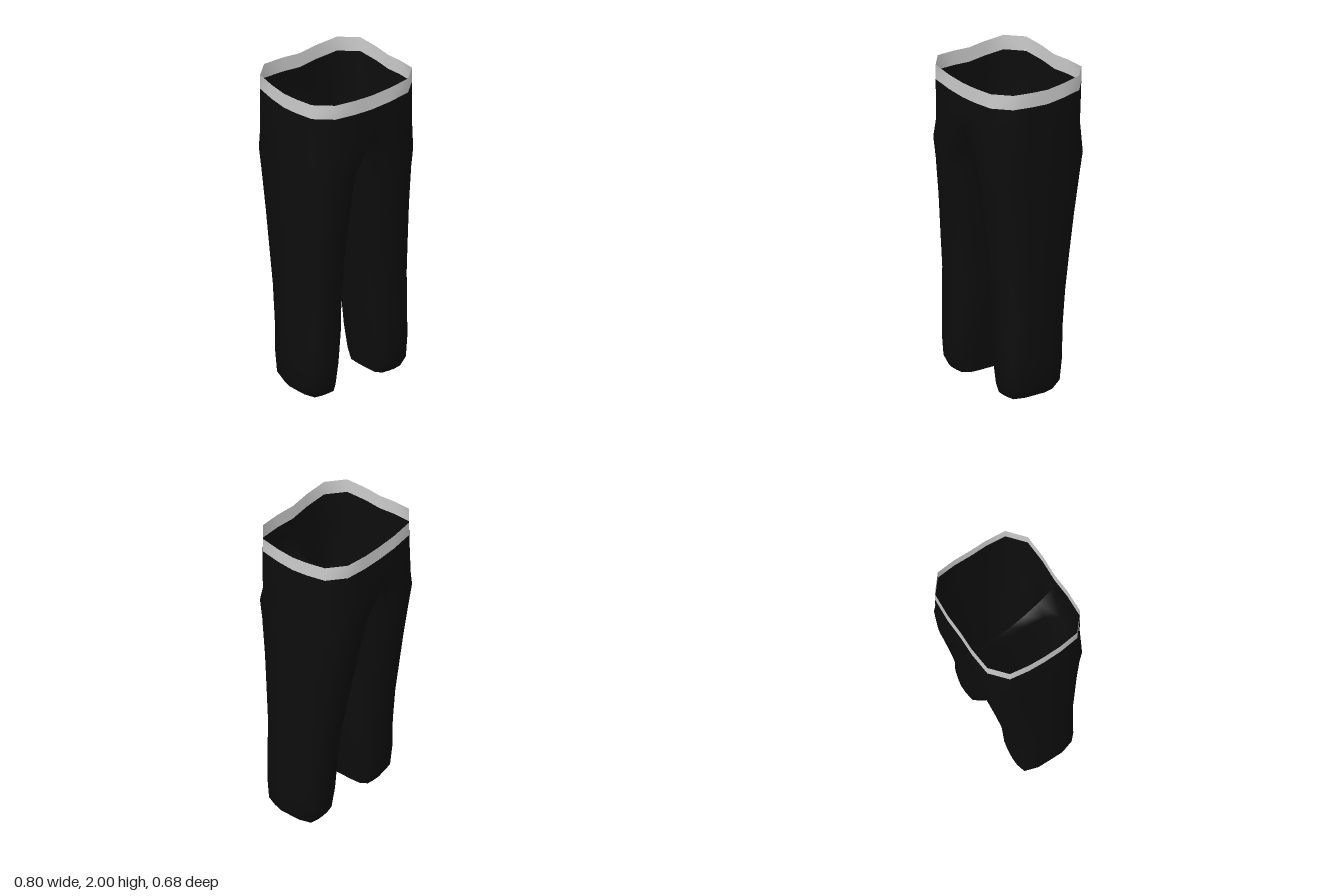
import * as THREE from 'three';
import { mergeGeometries, mergeVertices } from 'three/addons/utils/BufferGeometryUtils.js';

const ARC = 10;   // segments from front centre round the hip to back centre
const INNER = 6;  // segments along the inside of the leg

// Unit rounded square, sampled at an angle
function roundedSquare(angle, power) {
  const c = Math.cos(angle), s = Math.sin(angle);
  const r = (Math.abs(c) ** power + Math.abs(s) ** power) ** (-1 / power);
  return [c * r, s * r];
}

// Surface through rings of [x, y, z] points, listed from bottom to top
function loft(rings, closed) {
  const n = rings[0].length, last = closed ? n : n - 1, index = [];
  for (let i = 0; i < rings.length - 1; i++) {
    for (let j = 0; j < last; j++) {
      const k = (j + 1) % n, a = i * n, b = a + n;
      index.push(a + j, a + k, b + k, a + j, b + k, b + j);
    }
  }
  const geometry = new THREE.BufferGeometry();
  geometry.setAttribute('position', new THREE.Float32BufferAttribute(rings.flat(2), 3));
  geometry.setIndex(index);
  return geometry;
}

// Leg sections: y, outer x, left inner x, right inner x, front z, back z, squareness
const legSections = [
  [0.00, 0.350, 0.155, 0.155, 0.210, -0.092, 5],
  [0.06, 0.383, 0.150, 0.152, 0.235, -0.130, 4.5],
  [0.20, 0.390, 0.133, 0.135, 0.250, -0.150, 4],
  [0.40, 0.394, 0.110, 0.112, 0.255, -0.160, 3.5],
  [0.63, 0.396, 0.098, 0.103, 0.263, -0.190, 3],
  [0.85, 0.397, 0.070, 0.095, 0.280, -0.225, 3],
  [1.10, 0.398, 0.043, 0.073, 0.300, -0.267, 3],
  [1.35, 0.398, 0.020, 0.050, 0.323, -0.310, 3.2],
  [1.48, 0.399, 0.000, 0.033, 0.335, -0.327, 3.6]
];

function legRing([y, outer, innerL, innerR, front, back, power], side) {
  const inner = side > 0 ? innerL : innerR, ring = [];
  for (let j = 0; j < ARC + INNER; j++) {
    const degrees = j <= ARC ? 125 - 25 * j : -125 - (110 / INNER) * (j - ARC);
    const [u, v] = roundedSquare(THREE.MathUtils.degToRad(degrees), power);
    ring.push([
      side * ((outer + inner) / 2 + u * (outer - inner) / 2), y,
      (front + back) / 2 + v * (front - back) / 2
    ]);
  }
  return ring;
}

// Half outline of the hips; the centre seam leans by an amount given as skew
function hipArc(side, skew, heightAt) {
  const arc = [];
  for (let j = 0; j <= ARC; j++) {
    const [u, v] = roundedSquare(Math.PI * (0.5 - j / ARC), 5);
    const z = 0.002 + 0.343 * v * (1 - 0.025 * Math.max(0, 1 - u / 0.5));
    const x = side * 0.4 * u + skew * (1 - u) * (-0.015 + 0.1 * z);
    arc.push([x, heightAt(x, z), z]);
  }
  return arc;
}

// The waist dips at the middle of each side and rises at the corners
const waistTop = (x, z) => 1.965 - 0.03 * z + 0.22 * Math.abs(x * z);
const waistBottom = (x, z) => waistTop(x, z) - 0.093;
const crotchHeight = (x, z) => {
  const centre = 1.57 + 0.11 * (z / 0.34) ** 2;
  return THREE.MathUtils.lerp(centre, 1.62, Math.min(1, Math.abs(x) / 0.4));
};

// Rings of the right side run the other way round, so they are reversed
const orient = (rings, side) => side > 0 ? rings : rings.map(r => r.slice().reverse());

function halfTrousers(side) {
  const crotch = hipArc(side, 1, crotchHeight);
  const hip = hipArc(side, 0.5, () => 1.76);
  const waist = hipArc(side, 0, waistBottom);

  // Seam between the legs, from back to front
  const seam = [];
  const zBack = crotch[ARC][2], zFront = crotch[0][2];
  for (let k = 1; k < INNER; k++) {
    const z = THREE.MathUtils.lerp(zBack, zFront, k / INNER);
    seam.push([-0.015 + 0.1 * z, crotchHeight(0, z), z]);
  }
  const legRings = legSections.map(section => legRing(section, side));
  legRings.push([...crotch, ...seam]);
  return [
    loft(orient(legRings, side), true),
    loft(orient([crotch, hip, waist], side), false)
  ];
}

function smoothMesh(parts, color, name) {
  const geometry = mergeVertices(mergeGeometries(parts), 1e-4);
  geometry.computeVertexNormals();
  const material = new THREE.MeshStandardMaterial({ color, side: THREE.DoubleSide });
  const mesh = new THREE.Mesh(geometry, material);
  mesh.name = name;
  return mesh;
}

export function createModel() {
  const group = new THREE.Group();
  group.name = 'trousers';

  // Legs and hips, open at the cuffs and the waist
  group.add(smoothMesh([1, -1].flatMap(halfTrousers), 0x0d0d0d, 'legsAndHips'));

  // Waistband
  const band = [1, -1].map(side => loft(orient(
    [hipArc(side, 0, waistBottom), hipArc(side, 0, waistTop)], side), false));
  group.add(smoothMesh(band, 0xcccccc, 'waistband'));

  return group;
}
